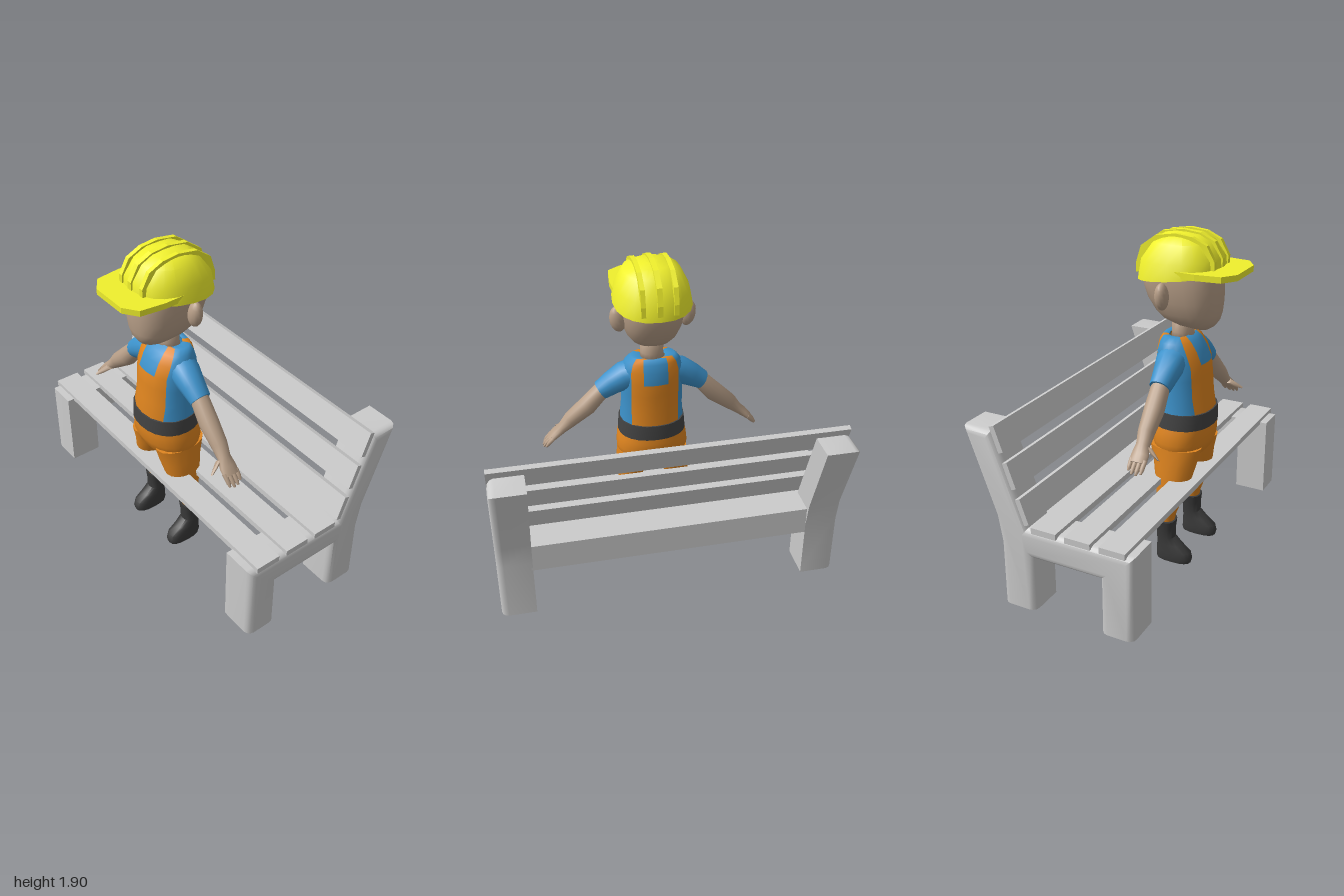
import * as THREE from 'three';
import { toCreasedNormals } from 'three/addons/utils/BufferGeometryUtils.js';

const paint = (color) => new THREE.MeshStandardMaterial({ color, side: THREE.DoubleSide });
const GREY = paint(0xcccccc), ORANGE = paint(0xe0851f), BLUE = paint(0x3d93cc), SKIN = paint(0xb89f88),
  DARK = paint(0x434343), BOOT = paint(0x3a3a3a), YELLOW = paint(0xf0f02d);

const spow = (v, p) => Math.sign(v) * Math.abs(v) ** p;

// Horizontal superellipse section: centre x, height, half width, front z, back z
function ring([cx, y, w, zf, zb], n = 18, e = 2.3, tilt = 0) {
  const zc = (zf + zb) / 2, dz = (zf - zb) / 2;
  return Array.from({ length: n }, (_, i) => {
    const t = (i / n) * Math.PI * 2;
    const z = zc + dz * spow(Math.cos(t), 2 / e);
    return [cx + w * spow(Math.sin(t), 2 / e), y + tilt * (z - 0.2), z];
  });
}

// Sections across a path of [x, y, z, radius in the xy plane, radius in z]
function limbRings(path, n = 14) {
  return path.map(([x, y, z, a, b], k) => {
    const p = path[Math.max(k - 1, 0)], q = path[Math.min(k + 1, path.length - 1)];
    const len = Math.hypot(q[0] - p[0], q[1] - p[1]);
    const nx = (q[1] - p[1]) / len, ny = (p[0] - q[0]) / len;
    return Array.from({ length: n }, (_, i) => {
      const t = (i / n) * Math.PI * 2, s = a * Math.sin(t);
      return [x + nx * s, y + ny * s, z + b * Math.cos(t)];
    });
  });
}

const mirrored = (rings) => rings.map((r) => r.map(([x, y, z]) => [-x, y, z]).reverse());

// Skin over a stack of sections, closed at both ends; keep(row, column) picks faces
function loft(rings, crease, keep) {
  const n = rings[0].length, last = rings.length - 1, pts = rings.flat(), index = [];
  const all = [];
  for (let k = 0; k < last; k++) {
    for (let i = 0; i < n; i++) {
      const j = (i + 1) % n, a = k * n + i, b = k * n + j;
      const f = [a, b, b + n, a, b + n, a + n];
      all.push(...f);
      if (!keep || keep(k, i)) index.push(...f);
    }
  }
  if (!keep) {
    for (const k of [0, last]) {
      const c = [0, 1, 2].map((d) => rings[k].reduce((s, p) => s + p[d], 0) / n);
      const ci = pts.push(c) - 1;
      for (let i = 0; i < n; i++) {
        const a = k * n + i, b = k * n + ((i + 1) % n);
        const f = k ? [a, b, ci] : [b, a, ci];
        all.push(...f);
        index.push(...f);
      }
    }
  }
  const g = new THREE.BufferGeometry();
  g.setAttribute('position', new THREE.Float32BufferAttribute(pts.flat(), 3));
  g.setIndex(all);
  g.computeVertexNormals();
  g.setIndex(index);
  return crease ? toCreasedNormals(g, crease) : g;
}

function add(parent, name, geometry, material) {
  const m = new THREE.Mesh(geometry, material);
  m.name = name;
  parent.add(m);
  return m;
}

function group(parent, name) {
  const g = new THREE.Group();
  g.name = name;
  parent.add(g);
  return g;
}

const polygon = (pts) => new THREE.Shape(pts.map(([x, y]) => new THREE.Vector2(x, y)));

// Bench side frame: outer edges rounded, inner side flat, feet open underneath
function frameGeometry(side) {
  const bevel = 0.04, depth = 0.26;
  const shape = polygon([[0.425, -0.06], [0.425, 0.5], [-0.195, 0.5], [-0.385, 1.01], [-0.555, 1.01],
    [-0.385, 0.53], [-0.36, 0.38], [-0.36, -0.06], [-0.16, -0.06], [-0.16, 0.33], [0.235, 0.33], [0.235, -0.06]]);
  const g = new THREE.ExtrudeGeometry(shape, { depth, bevelThickness: bevel, bevelSize: bevel, bevelOffset: -bevel, bevelSegments: 3 });
  g.rotateY(-Math.PI / 2).translate(side > 0 ? 1 - bevel : depth + bevel - 1, 0, 0);
  const p = g.attributes.position, kept = [];
  for (let i = 0; i < p.count; i++) {
    p.setX(i, side * Math.max(side * p.getX(i), 0.8));
    p.setY(i, Math.max(p.getY(i), 0.015));
  }
  for (let i = 0; i < p.count; i += 3) {
    if ([0, 1, 2].some((k) => p.getY(i + k) > 0.02)) {
      for (let k = 0; k < 3; k++) kept.push(p.getX(i + k), p.getY(i + k), p.getZ(i + k));
    }
  }
  const out = new THREE.BufferGeometry();
  out.setAttribute('position', new THREE.Float32BufferAttribute(kept, 3));
  return toCreasedNormals(out, 0.7);
}

function buildBench(parent) {
  const bench = group(parent, 'bench');
  add(bench, 'leftFrame', frameGeometry(1), GREY);
  add(bench, 'rightFrame', frameGeometry(-1), GREY);
  add(bench, 'rearRail', new THREE.BoxGeometry(1.62, 0.17, 0.2), GREY).position.set(0, 0.415, -0.26);
  for (let i = 0; i < 3; i++) {
    add(bench, 'seatSlat', new THREE.BoxGeometry(2, 0.035, 0.147), GREY).position.set(0, 0.505, 0.309 - i * 0.199);
    const back = add(bench, 'backSlat', new THREE.BoxGeometry(2, 0.146, 0.03), GREY);
    back.position.set(0, 0.597 + i * 0.19, -0.212 - i * 0.066);
    back.rotation.x = -0.34;
  }
}

// Torso section with columns on the edges of the bib and straps
function torsoRing([y, w, zf, zb]) {
  const a = Math.min(0.07, 0.5 * w), b = Math.min(0.137, 0.8 * w), c = 0.95 * w;
  const half = [0, a, b, c, w, c, b, a];
  const xs = [...half, ...half.map((x) => -x)];
  return xs.map((x, i) => {
    const s = i === 4 || i === 12 ? 0 : i > 4 && i < 12 ? -1 : 1;
    const r = Math.max(0, 1 - (Math.abs(x) / w) ** 2.2) ** (1 / 2.2);
    return [x, y, (zf + zb) / 2 + s * r * (zf - zb) / 2];
  });
}

function buildBody(parent) {
  // Shirt and overalls share one surface
  const torso = [[0.8, 0.195, 0.39, 0.07], [0.91, 0.187, 0.39, 0.073], [1.0, 0.18, 0.375, 0.075], [1.1, 0.18, 0.367, 0.075],
    [1.18, 0.183, 0.358, 0.07], [1.25, 0.178, 0.328, 0.078], [1.3, 0.155, 0.296, 0.09], [1.33, 0.128, 0.26, 0.108],
    [1.32, 0.07, 0.25, 0.13]].map(torsoRing);
  const overalls = (row, col) => {
    const q = col % 8 < 4 ? col % 8 : 7 - (col % 8);
    return q === 1 || (q === 0 && row < 4);
  };
  add(parent, 'overallsBib', loft(torso, 0, overalls), ORANGE);
  add(parent, 'shirt', loft(torso, 0, (r, c) => !overalls(r, c)), BLUE);
  const belt = [[0, 0.82, 0.185, 0.38, 0.08], [0, 0.82, 0.2, 0.402, 0.06], [0, 0.91, 0.192, 0.398, 0.066], [0, 0.91, 0.17, 0.37, 0.09]];
  add(parent, 'belt', loft(belt.map((r) => ring(r, 24, 2.2)), 0.7), DARK);
  const hips = [[0, 0.585, 0.08, 0.27, 0.16], [0, 0.62, 0.16, 0.325, 0.12], [0, 0.67, 0.205, 0.37, 0.08], [0, 0.73, 0.212, 0.392, 0.056],
    [0, 0.79, 0.206, 0.396, 0.06], [0, 0.83, 0.197, 0.396, 0.064]];
  add(parent, 'trouserHips', loft(hips.map((r) => ring(r, 24, 2.2)), 1), ORANGE);

  const leg = [[0.172, 0.22, 0.046, 0.24, 0.147], [0.17, 0.28, 0.05, 0.25, 0.145], [0.162, 0.4, 0.063, 0.295, 0.135],
    [0.148, 0.5, 0.078, 0.33, 0.12], [0.118, 0.6, 0.098, 0.35, 0.098], [0.108, 0.7, 0.1, 0.375, 0.07]].map((r) => ring(r, 16, 2.1));
  const boot = [[0.175, 0, 0.05, 0.355, 0.147], [0.175, 0.02, 0.054, 0.36, 0.143], [0.175, 0.06, 0.052, 0.35, 0.145],
    [0.175, 0.1, 0.049, 0.295, 0.147], [0.174, 0.14, 0.048, 0.25, 0.147], [0.173, 0.2, 0.054, 0.25, 0.143],
    [0.172, 0.25, 0.062, 0.255, 0.138]].map((r) => ring(r, 16, 2.6));
  const sleeve = limbRings([[0.09, 1.22, 0.2, 0.08, 0.085], [0.16, 1.195, 0.207, 0.082, 0.085],
    [0.235, 1.15, 0.213, 0.07, 0.07], [0.3, 1.107, 0.215, 0.056, 0.06]]);
  const arm = limbRings([[0.26, 1.14, 0.215, 0.045, 0.045], [0.3, 1.1, 0.216, 0.05, 0.052], [0.38, 1.01, 0.222, 0.057, 0.055],
    [0.48, 0.925, 0.228, 0.046, 0.046], [0.53, 0.872, 0.234, 0.031, 0.038], [0.57, 0.838, 0.24, 0.026, 0.05], [0.605, 0.805, 0.24, 0.018, 0.05]]);
  const thumb = limbRings([[0.525, 0.865, 0.265, 0.018, 0.02], [0.545, 0.84, 0.305, 0.015, 0.016], [0.56, 0.822, 0.338, 0.007, 0.008]], 8);
  const fingers = [0.203, 0.228, 0.253, 0.278].map((z, i) => {
    const reach = [0, 0.012, 0.014, 0.006][i];
    return limbRings([[0.59, 0.82, z, 0.014, 0.014], [0.618 + reach, 0.79 - reach, z, 0.012, 0.013], [0.634 + reach, 0.77 - reach, z, 0.006, 0.007]], 8);
  });
  for (const side of [1, -1]) {
    const limb = group(parent, side > 0 ? 'leftLimbs' : 'rightLimbs');
    const put = (name, rings, material, crease = 1) => add(limb, name, loft(side > 0 ? rings : mirrored(rings), crease), material);
    put('trouserLeg', leg, ORANGE);
    put('boot', boot, BOOT, 0.8);
    put('sleeve', sleeve, BLUE);
    put('arm', arm, SKIN);
    put('thumb', thumb, SKIN);
    fingers.forEach((f) => put('finger', f, SKIN));
  }
}

function buildHead(parent) {
  const neck = [[0, 1.29, 0.074, 0.275, 0.14], [0, 1.34, 0.066, 0.265, 0.145], [0, 1.43, 0.07, 0.265, 0.145]];
  add(parent, 'neck', loft(neck.map((r) => ring(r, 16, 2))), SKIN);
  const head = [[0, 1.37, 0.045, 0.36, 0.27], [0, 1.39, 0.085, 0.39, 0.17], [0, 1.42, 0.118, 0.41, 0.1], [0, 1.46, 0.145, 0.42, 0.06],
    [0, 1.53, 0.166, 0.426, 0.015], [0, 1.6, 0.175, 0.426, -0.01], [0, 1.67, 0.178, 0.42, -0.018], [0, 1.74, 0.17, 0.4, 0]];
  add(parent, 'head', loft(head.map((r) => ring(r, 24, 2.4))), SKIN);
  for (const side of [1, -1]) {
    const ear = add(parent, side > 0 ? 'leftEar' : 'rightEar', new THREE.SphereGeometry(1, 14, 10), SKIN);
    ear.scale.set(0.046, 0.076, 0.037);
    ear.position.set(side * 0.196, 1.572, 0.17);
    ear.rotation.z = -side * 0.15;
  }
}

function buildHelmet(parent) {
  const helmet = group(parent, 'helmet');
  const shell = [[0, 1.66, 0.205, 0.415, -0.025, 0.128], [0, 1.66, 0.22, 0.43, -0.04, 0.128], [0, 1.75, 0.203, 0.423, -0.024, 0.06],
    [0, 1.84, 0.157, 0.366, 0.043, 0.03], [0, 1.875, 0.1, 0.3, 0.1, 0.02], [0, 1.884, 0.03, 0.23, 0.16, 0]];
  const rings = shell.map((r) => ring(r, 20, 2.3, r[5]));
  add(helmet, 'shell', toCreasedNormals(loft(rings, 0, () => true), 0.6), YELLOW);
  add(helmet, 'crown', loft(rings.slice(-2), 0.6), YELLOW);

  // Peak
  const outline = [[0.205, 0.24], [0.208, 0.36], [0.19, 0.5], [0.11, 0.556]];
  const peak = polygon([...outline, ...outline.map(([x, z]) => [-x, z]).reverse()]);
  const peakGeo = new THREE.ExtrudeGeometry(peak, { depth: 0.033, bevelEnabled: false });
  add(helmet, 'peak', peakGeo.rotateX(Math.PI / 2).translate(0, 1.717, 0), YELLOW);

  // Raised ridges running front to back
  const profile = [[0.432, 1.72], [0.432, 1.765], [0.385, 1.848], [0.3, 1.887], [0.2, 1.897], [0.08, 1.877], [-0.008, 1.812], [-0.037, 1.72], [-0.04, 1.66]];
  for (const [x, width, sz, sy] of [[0, 0.03, 1, 1], [0.09, 0.026, 0.965, 0.97], [-0.09, 0.026, 0.965, 0.97]]) {
    const shape = polygon(profile.map(([z, y]) => [0.2 + (z - 0.2) * sz, 1.66 + (y - 1.66) * sy]));
    const g = new THREE.ExtrudeGeometry(shape, { depth: width, bevelEnabled: false });
    add(helmet, 'ridge', g.rotateY(-Math.PI / 2).translate(x + width / 2, 0, 0), YELLOW);
  }
}

export function createModel() {
  const model = new THREE.Group();
  model.name = 'workerAndBench';
  buildBench(model);
  const worker = group(model, 'worker');
  buildBody(worker);
  buildHead(worker);
  buildHelmet(worker);
  return model;
}
